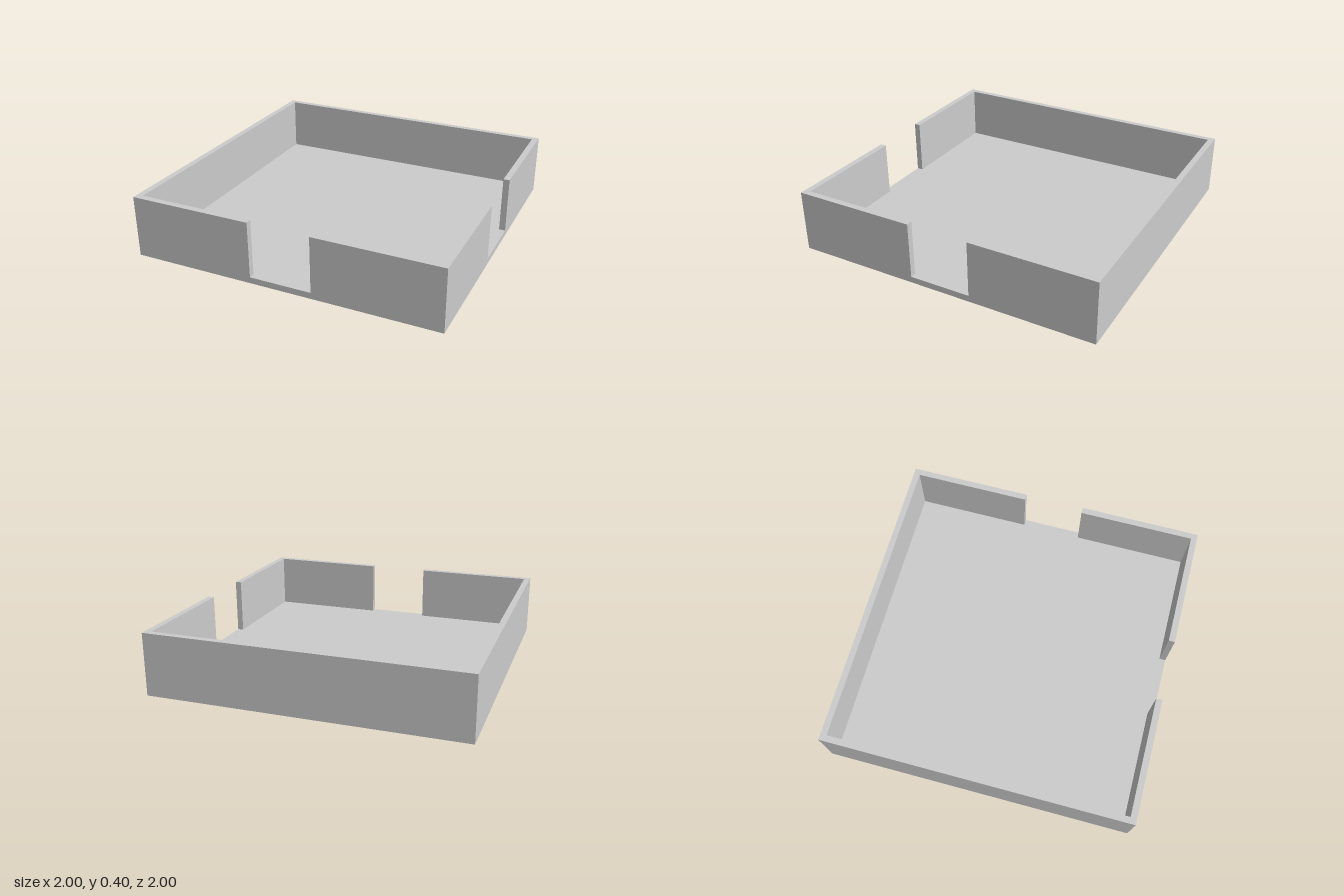
import * as THREE from 'three';

const HALF = 1;       // half the tray's width
const T = 0.04;       // wall and floor thickness
const HEIGHT = 0.4;
const GAP = 0.2;      // half the width of each opening
const IN = HALF - T;  // inner face of the walls

const material = new THREE.MeshStandardMaterial({ color: 0xcccccc });

// Extrudes a plan outline of [x, z] points upward from the floor
function wall(name, plan) {
  const shape = new THREE.Shape(plan.map(([x, z]) => new THREE.Vector2(x, -z)));
  const geometry = new THREE.ExtrudeGeometry(shape, { depth: HEIGHT - T, bevelEnabled: false });
  geometry.rotateX(-Math.PI / 2);
  const mesh = new THREE.Mesh(geometry, material);
  mesh.name = name;
  mesh.position.y = T;
  return mesh;
}

export function createModel() {
  const group = new THREE.Group();
  group.name = 'openTray';

  // Square floor slab
  const floor = new THREE.Mesh(new THREE.BoxGeometry(2 * HALF, T, 2 * HALF), material);
  floor.name = 'floor';
  floor.position.y = T / 2;
  group.add(floor);

  // Continuous wall from the front opening, round the -x side and back, to the +x opening
  group.add(wall('mainWall', [
    [-GAP, HALF], [-HALF, HALF], [-HALF, -HALF], [HALF, -HALF], [HALF, -GAP],
    [IN, -GAP], [IN, -IN], [-IN, -IN], [-IN, IN], [-GAP, IN],
  ]));

  // L-shaped wall at the corner between the two openings
  group.add(wall('cornerWall', [
    [GAP, HALF], [HALF, HALF], [HALF, GAP], [IN, GAP], [IN, IN], [GAP, IN],
  ]));

  return group;
}
